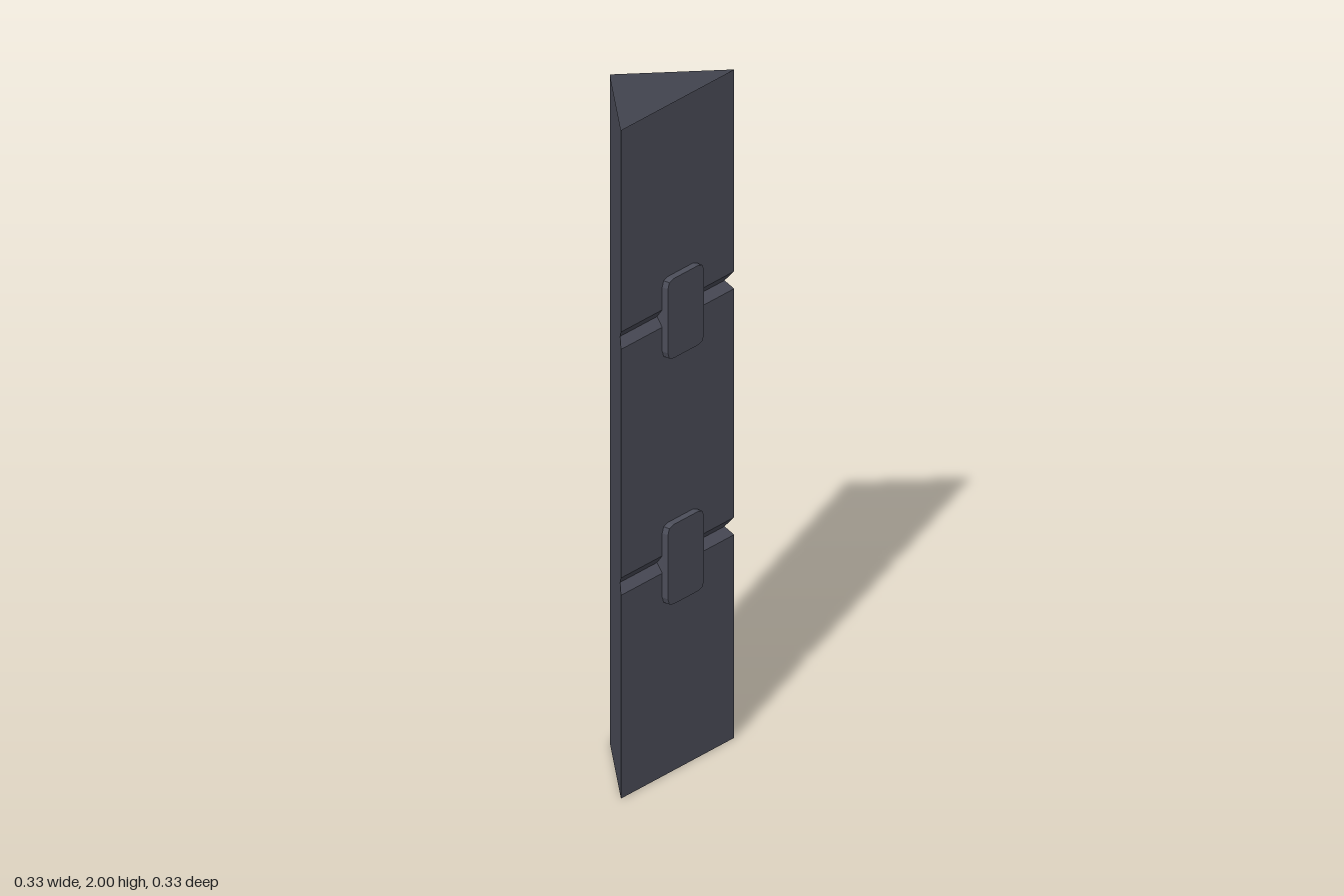
import * as THREE from 'three';

const R = 0.167;                 // half width of the triangular column
const GROOVES = [0.634, 1.37];   // heights of the groove centres

// Open triangular tube; the diagonal panel steps inward at each groove
function columnGeometry() {
  const profile = [[0, 0]];
  for (const y of GROOVES) profile.push([y - 0.026, 0], [y, 0.026], [y + 0.026, 0]);
  profile.push([2, 0]);
  const rings = profile.map(([y, d]) => [
    [-R, y, -R], [-R, y, R - d], [R - d, y, -R],
  ]);
  const pos = [];
  for (let i = 0; i < rings.length - 1; i++) {
    const lo = rings[i], hi = rings[i + 1];
    for (let a = 0; a < 3; a++) {
      const b = (a + 1) % 3;
      pos.push(...lo[a], ...lo[b], ...hi[b], ...lo[a], ...hi[b], ...hi[a]);
    }
  }
  const geo = new THREE.BufferGeometry();
  geo.setAttribute('position', new THREE.Float32BufferAttribute(pos, 3));
  geo.computeVertexNormals();
  return geo;
}

// Upright plate with softened corners
function claspGeometry(w, h, r, depth) {
  const x = w / 2, y = h / 2;
  const s = new THREE.Shape();
  s.moveTo(-x + r, -y);
  s.lineTo(x - r, -y);
  s.quadraticCurveTo(x, -y, x, -y + r);
  s.lineTo(x, y - r);
  s.quadraticCurveTo(x, y, x - r, y);
  s.lineTo(-x + r, y);
  s.quadraticCurveTo(-x, y, -x, y - r);
  s.lineTo(-x, -y + r);
  s.quadraticCurveTo(-x, -y, -x + r, -y);
  return new THREE.ExtrudeGeometry(s, { depth, bevelEnabled: false, curveSegments: 2 });
}

export function createModel() {
  const model = new THREE.Group();
  model.name = 'cornerColumn';
  const slate = new THREE.MeshStandardMaterial({
    color: 0x4c4e5a, side: THREE.DoubleSide, flatShading: true,
  });
  slate.name = 'slate';

  const column = new THREE.Mesh(columnGeometry(), slate);
  column.name = 'column';
  model.add(column);

  // Clasps bridge the grooves on the diagonal panel
  const clasps = new THREE.Group();
  clasps.name = 'clasps';
  clasps.rotation.y = Math.PI / 4;
  const geo = claspGeometry(0.15, 0.238, 0.023, 0.047);
  for (const y of GROOVES) {
    const clasp = new THREE.Mesh(geo, slate);
    clasp.name = 'clasp';
    clasp.position.set(0.011, y - 0.002, -0.027);
    clasps.add(clasp);
  }
  model.add(clasps);
  return model;
}
